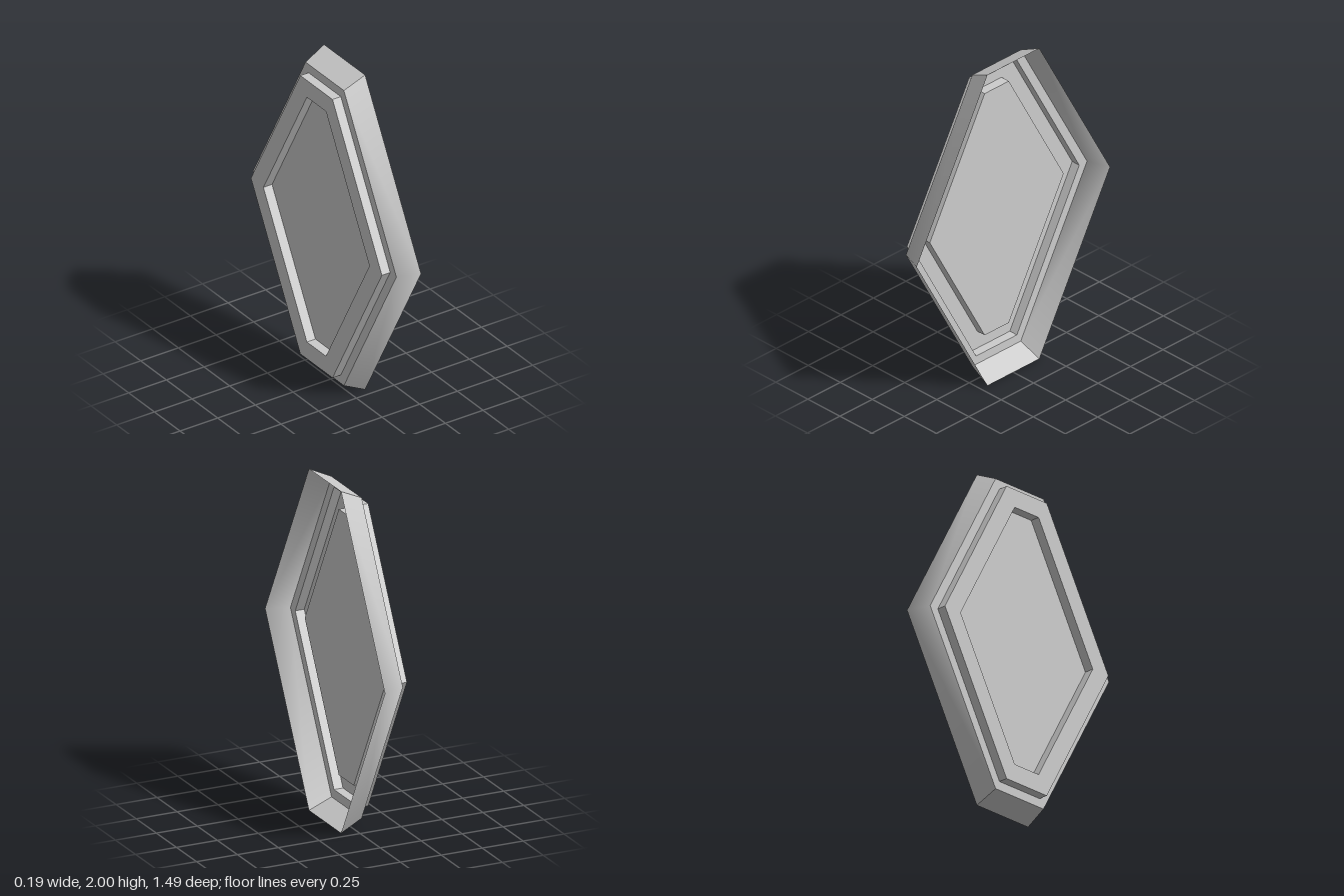
import * as THREE from 'three';

const material = new THREE.MeshStandardMaterial({ color: 0xcccccc, side: THREE.DoubleSide });

// Six-sided outline in the plane x: half height h about y = 1, half end width w, half tip width t
const outline = (x, h, w, t) => [
  [x, 1 + h, w], [x, 1, t], [x, 1 - h, w],
  [x, 1 - h, -w], [x, 1, -t], [x, 1 + h, -w],
];

function makeMesh(name, points, index) {
  const geometry = new THREE.BufferGeometry();
  geometry.setAttribute('position', new THREE.Float32BufferAttribute(points.flat(), 3));
  geometry.setIndex(index);
  geometry.computeVertexNormals();
  const mesh = new THREE.Mesh(geometry, material);
  mesh.name = name;
  return mesh;
}

// Band joining two outlines; each run of corners is one smooth strip, with creases between runs
function band(name, a, b, runs) {
  const points = [], index = [];
  for (const run of runs) {
    const start = points.length;
    run.forEach((corner) => points.push(a[corner], b[corner]));
    for (let i = 0; i < run.length - 1; i++) {
      const k = start + 2 * i;
      index.push(k, k + 2, k + 1, k + 1, k + 2, k + 3);
    }
  }
  return makeMesh(name, points, index);
}

export function createModel() {
  const group = new THREE.Group();
  group.name = 'stampedPanel';

  const sharp = [0, 1, 2, 3, 4, 5].map((i) => [i, (i + 1) % 6]);
  const smoothTips = [[0, 1, 2], [2, 3], [3, 4, 5], [5, 0]];

  // Outlines from the open rim to the centre panel
  const rim = outline(0.092, 1, 0.2, 0.745);
  const base = outline(-0.04, 0.938, 0.187, 0.698);
  const stepInner = outline(-0.04, 0.885, 0.157, 0.638);
  const stepOuter = outline(-0.095, 0.885, 0.157, 0.638);
  const frameEdge = outline(-0.095, 0.778, 0.093, 0.516);
  const panelEdge = outline(-0.038, 0.778, 0.093, 0.516);

  group.add(
    band('flaredWall', rim, base, smoothTips),
    band('baseLedge', base, stepInner, sharp),
    band('stepWall', stepInner, stepOuter, sharp),
    band('frameFace', stepOuter, frameEdge, sharp),
    band('recessWall', frameEdge, panelEdge, sharp),
    makeMesh('centrePanel', panelEdge, [1, 2, 3, 4].flatMap((i) => [0, i, i + 1])),
  );
  return group;
}
